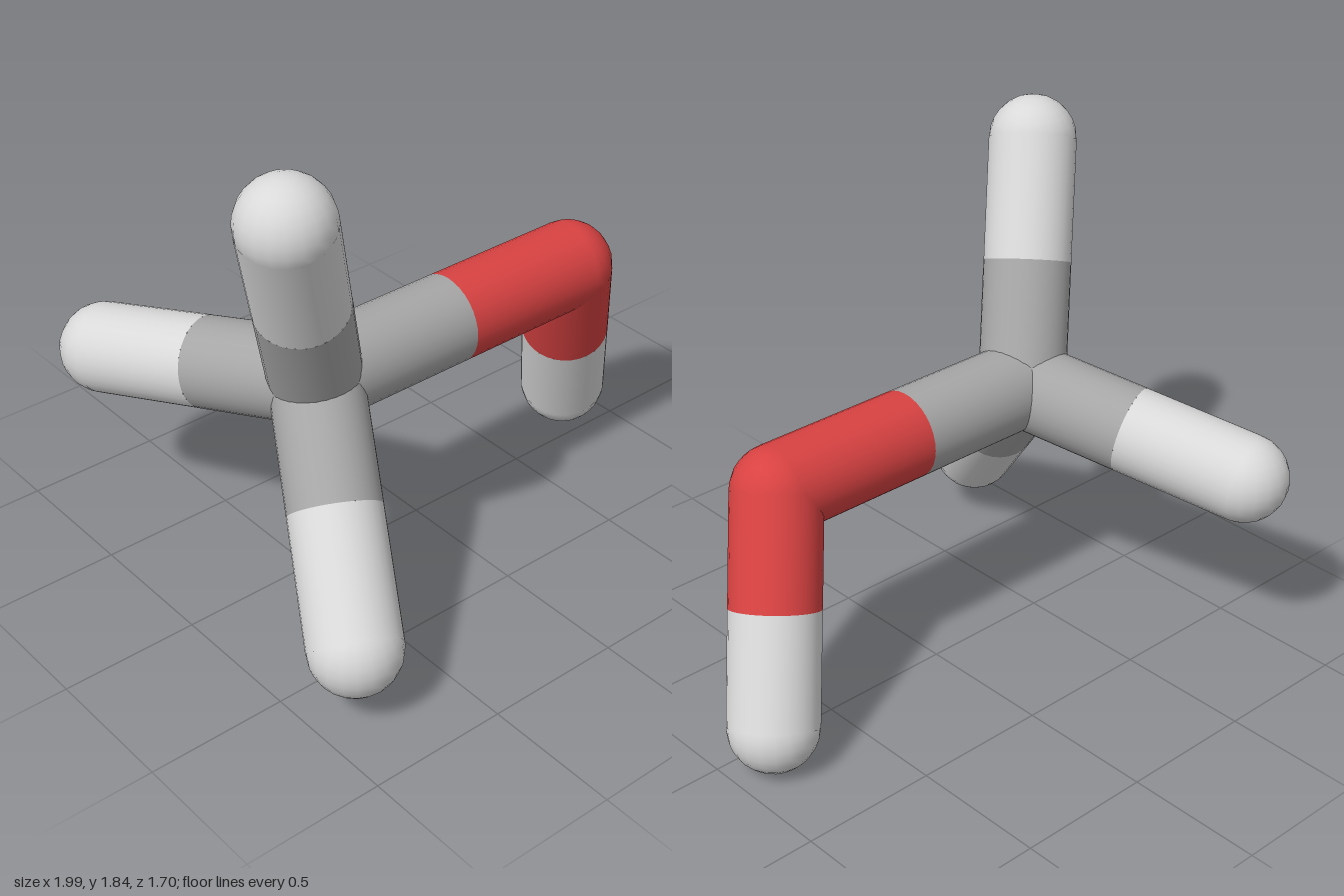
import * as THREE from 'three';

const RADIUS = 0.16;

export function createModel() {
  const group = new THREE.Group();
  group.name = 'stickMolecule';

  const paint = (name, color) => {
    const material = new THREE.MeshStandardMaterial({ color });
    material.name = name;
    return material;
  };
  const grey = paint('grey', 0xa6a6a6);
  const red = paint('red', 0xd94242);
  const white = paint('white', 0xd9d9d9);

  const atom = (name, material, x, y, z) => ({ name, material, position: new THREE.Vector3(x, y, z) });
  const carbon = atom('carbon', grey, -0.54, 0.88, 0.13);
  const oxygen = atom('oxygen', red, 0.6, 0.88, 0.13);
  const hydrogens = [
    atom('upperHydrogen', white, -0.835, 1.675, 0.4),
    atom('frontHydrogen', white, -0.835, 0.26, 0.69),
    atom('backHydrogen', white, -0.835, 0.72, -0.69),
  ];
  const hydroxyl = atom('hydroxylHydrogen', white, 0.837, 0.16, -0.11);

  // Rounded joints and tips
  const ball = new THREE.SphereGeometry(RADIUS, 20, 14);
  for (const a of [carbon, oxygen, hydroxyl, ...hydrogens]) {
    const mesh = new THREE.Mesh(ball, a.material);
    mesh.name = a.name;
    mesh.position.copy(a.position);
    group.add(mesh);
  }

  // Half a bond, running from an atom to the bond's midpoint
  const up = new THREE.Vector3(0, 1, 0);
  const halfBond = (from, to) => {
    const half = to.position.clone().sub(from.position).multiplyScalar(0.5);
    const length = half.length();
    const geometry = new THREE.CylinderGeometry(RADIUS, RADIUS, length, 32, 1, true);
    const mesh = new THREE.Mesh(geometry, from.material);
    mesh.name = `${from.name}HalfBond`;
    mesh.position.copy(from.position).addScaledVector(half, 0.5);
    mesh.quaternion.setFromUnitVectors(up, half.normalize());
    group.add(mesh);
  };

  // Bonds, coloured by the nearer atom
  const bonds = [[carbon, oxygen], [oxygen, hydroxyl], ...hydrogens.map((h) => [carbon, h])];
  for (const [a, b] of bonds) {
    halfBond(a, b);
    halfBond(b, a);
  }

  return group;
}
